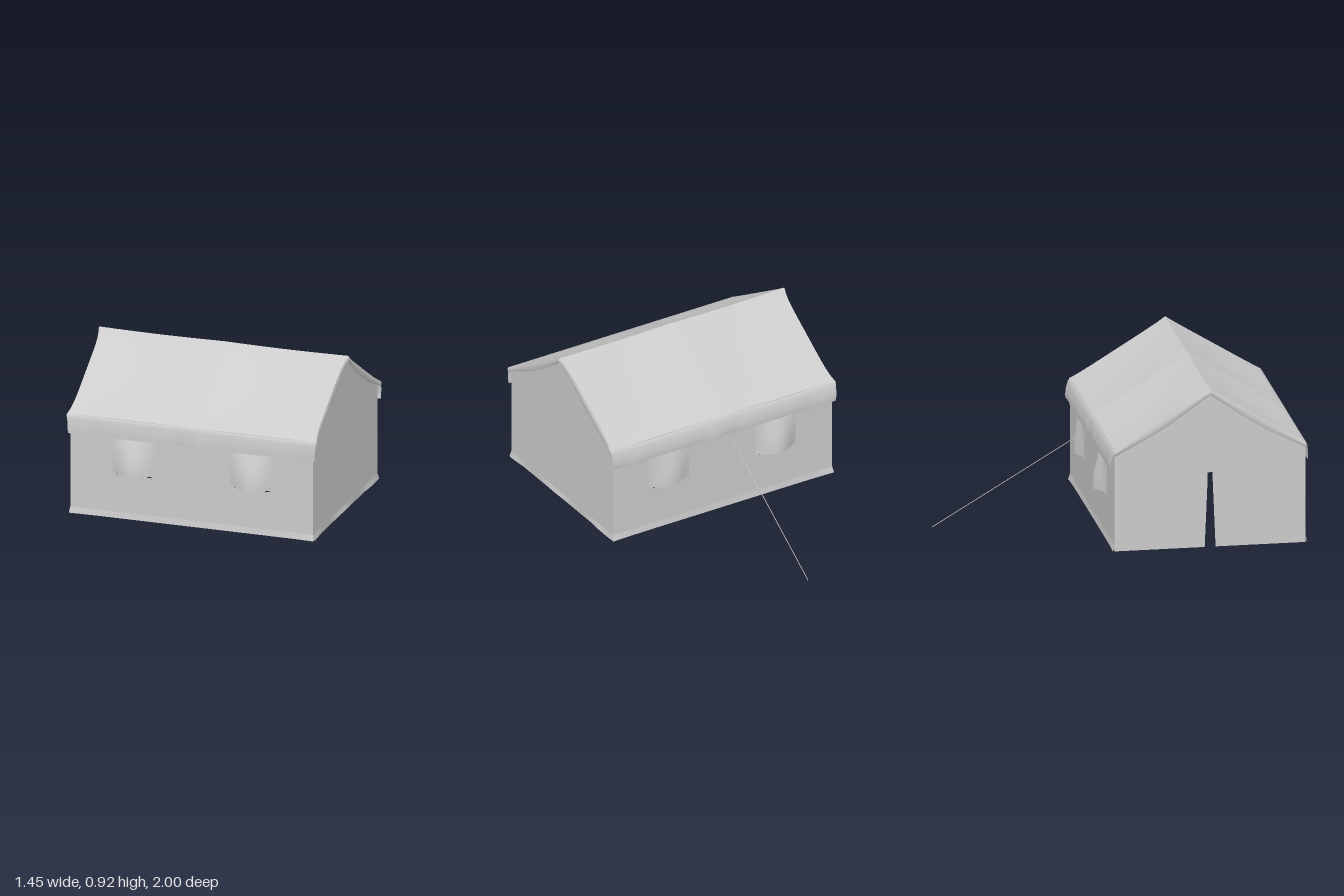
import * as THREE from 'three';
import { ParametricGeometry } from 'three/addons/geometries/ParametricGeometry.js';

const canvas = new THREE.MeshStandardMaterial({ color: 0xcccccc, side: THREE.DoubleSide });
const MID = 0.413;        // z of the ridge
const HALF_L = 0.7;       // half length along x
const HALF_W = 0.528;     // half width along z
const BASE = 0.022, EAVE = 0.592, RIDGE = 0.915, HEM = 0.482;
const { sin, abs, PI } = Math;

function add(parent, geometry, name) {
  const mesh = new THREE.Mesh(geometry, canvas);
  mesh.name = name;
  parent.add(mesh);
  return mesh;
}

// Cloth surface: fn(u, v) returns [x, y, z]
function cloth(parent, name, nu, nv, fn) {
  const geo = new ParametricGeometry((u, v, p) => p.set(...fn(u, v)), nu, nv);
  geo.computeVertexNormals();
  return add(parent, geo, name);
}

function rod(parent, name, a, b, r) {
  const from = new THREE.Vector3(...a), to = new THREE.Vector3(...b);
  const mesh = add(parent, new THREE.CylinderGeometry(r, r, from.distanceTo(to), 6), name);
  mesh.position.copy(from).add(to).multiplyScalar(0.5);
  mesh.quaternion.setFromUnitVectors(new THREE.Vector3(0, 1, 0), to.sub(from).normalize());
}

function polygon(points, Type = THREE.Shape) {
  return new Type(points.map(([x, y]) => new THREE.Vector2(x, y)));
}

// Roof edges flare outward at ridge and eaves
const endX = t => HALF_L + 0.002 + 0.016 * Math.pow(abs(2 * t - 1), 6);

// One roof slope with its hanging hem; side = +1 front, -1 back
function roofSlope(parent, side) {
  const split = 0.75;
  cloth(parent, 'roofSlope', 40, 32, (u, v) => {
    const s = 2 * u - 1, panel = sin(PI * abs(s));
    if (v <= split) {
      const t = v / split;
      const sag = 0.016 * panel * sin(PI * t) + 0.004 * panel;
      return [s * endX(t), RIDGE + (EAVE - RIDGE) * t - sag, MID + side * HALF_W * t];
    }
    const d = (v - split) / (1 - split);
    const flare = (side < 0 ? 0.02 : 0.008) * sin(PI * d * 0.6) + 0.006 * sin(s * 19) * d * (1 - panel);
    return [s * (endX(1) - 0.008 * d), EAVE + (HEM - EAVE) * d - 0.004 * panel * (1 - d),
      MID + side * (HALF_W + 0.004 + flare)];
  });
  // Narrow trim hanging along each gable edge
  for (const end of [-1, 1]) {
    cloth(parent, 'gableTrim', 20, 3, (t, v) => {
      const drop = 0.028 + 0.026 * sin(PI * t);
      return [end * (endX(t) + 0.006 * sin(PI * v)), RIDGE + (EAVE - RIDGE) * t - drop * v,
        MID + side * HALF_W * t];
    });
  }
}

// Long wall with two barred windows and their outward-bulging flaps
function longWall(parent, side) {
  const wall = new THREE.Group();
  wall.name = side > 0 ? 'frontWall' : 'backWall';
  parent.add(wall);
  const z = MID + side * HALF_W;
  const shape = polygon([[-HALF_L, BASE], [HALF_L, BASE], [HALF_L, EAVE], [-HALF_L, EAVE]]);
  const windows = [-0.335, 0.345], w = 0.105, y0 = 0.27, y1 = 0.465;
  for (const x of windows) {
    shape.holes.push(polygon([[x - w, y0], [x - w, y1], [x + w, y1], [x + w, y0]], THREE.Path));
  }
  add(wall, new THREE.ShapeGeometry(shape), 'wallCloth').position.z = z;

  windows.forEach((x, i) => {
    for (let k = 0; k <= 4; k++) {
      const bx = x - w + (2 * w * k) / 4, by = y0 + ((y1 - y0) * k) / 4;
      rod(wall, 'windowBar', [bx, y0, z], [bx, y1, z], 0.003);
      rod(wall, 'windowBar', [x - w, by, z], [x + w, by, z], 0.003);
    }
    const bulge = side < 0 && i === 1 ? 0.038 : 0.054;
    cloth(wall, 'windowFlap', 16, 12, (u, v) => {
      const s = 2 * u - 1;
      const out = 0.005 + bulge * sin(PI * v * 0.5) * Math.pow(sin(PI * u), 1.3);
      return [x + s * (0.132 - 0.005 * v), HEM + 0.01 - v * (0.212 - 0.008 * abs(s)), z + side * out];
    });
  });

  // Slim upright poles just inside the wall
  for (const x of [-HALF_L + 0.01, 0, HALF_L - 0.01]) {
    rod(wall, 'wallPole', [x, BASE, z - side * 0.008], [x, EAVE, z - side * 0.008], 0.006);
  }
}

// End wall; the door end has a tapering slit up the middle
function endWall(parent, end, hasDoor) {
  const top = RIDGE - 0.008;
  const outline = [[-HALF_W, BASE], [HALF_W, BASE], [HALF_W, EAVE - 0.008], [0, top], [-HALF_W, EAVE - 0.008]];
  if (hasDoor) outline.splice(1, 0, [-0.03, BASE], [-0.014, 0.4], [-0.008, 0.8], [0.008, 0.8], [0.014, 0.4], [0.03, BASE]);
  const mesh = add(parent, new THREE.ShapeGeometry(polygon(outline)), hasDoor ? 'doorWall' : 'endWall');
  mesh.rotation.y = (end * PI) / 2;
  mesh.position.set(end * HALF_L, 0, MID);
}

// Small gathered hem where the cloth meets the ground
function groundHem(parent) {
  for (const side of [-1, 1]) {
    cloth(parent, 'groundHem', 40, 2, (u, v) => [(2 * u - 1) * (HALF_L + 0.006 * v), BASE + 0.035 * (1 - v),
      MID + side * (HALF_W + v * (0.005 + 0.005 * Math.pow(abs(2 * u - 1), 8)))]);
  }
  cloth(parent, 'groundHem', 32, 2, (u, v) => [HALF_L + v * (0.004 + 0.004 * sin(u * 14)),
    BASE + 0.035 * (1 - v) + 0.008 * v * sin(PI * u), MID + (2 * u - 1) * HALF_W]);
}

export function createModel() {
  const tent = new THREE.Group();
  tent.name = 'tent';

  const roof = new THREE.Group();
  roof.name = 'roof';
  tent.add(roof);

  for (const side of [-1, 1]) {
    roofSlope(roof, side);
    longWall(tent, side);
  }
  endWall(tent, 1, false);
  endWall(tent, -1, true);
  groundHem(tent);

  // Guy rope staked out behind
  rod(tent, 'guyRope', [-0.013, 0.48, -0.2], [0, 0.001, -1], 0.002);
  return tent;
}
